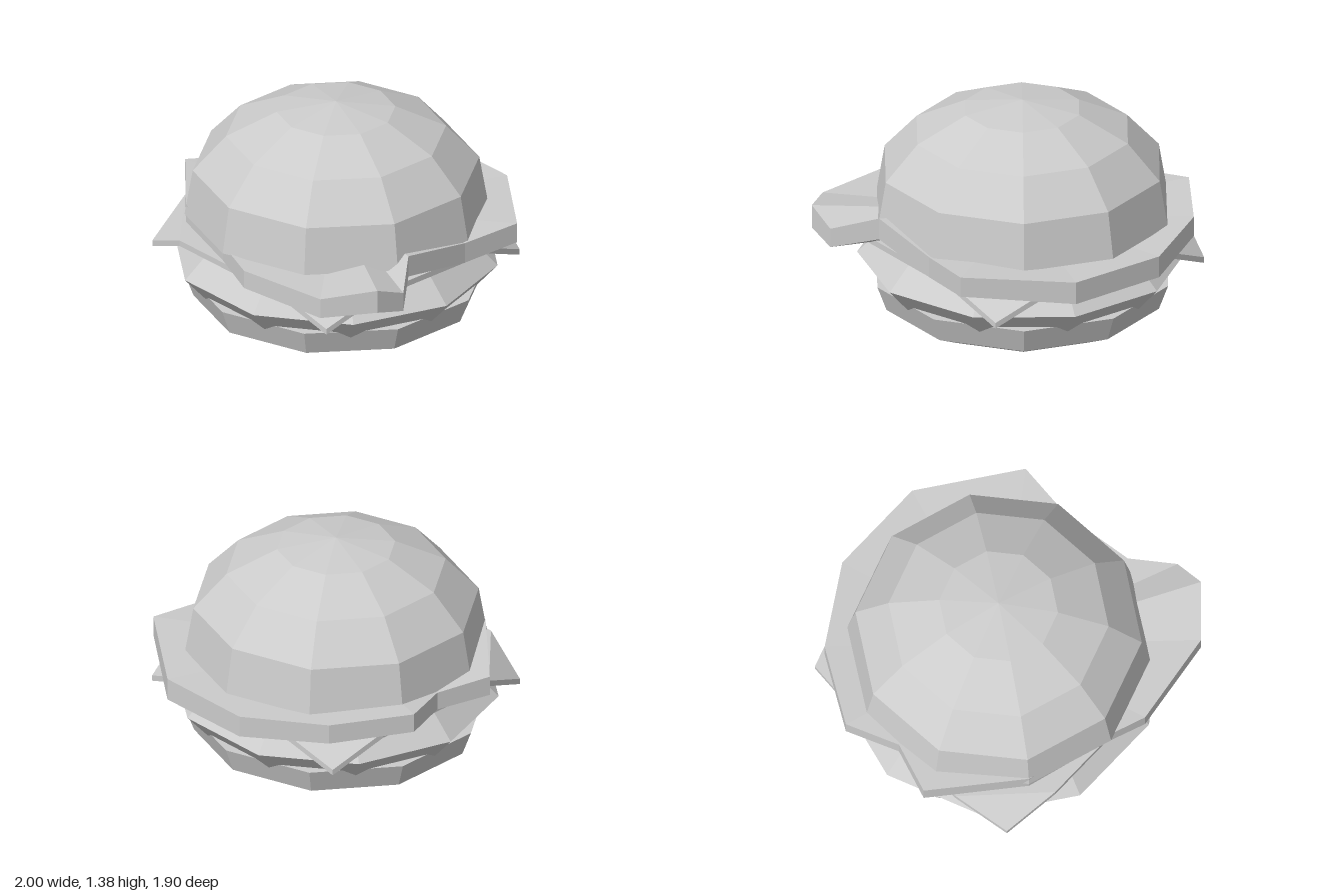
import * as THREE from 'three';

const CX = -0.045, CZ = 0.035; // shared axis of the stacked round parts

function material(side = THREE.FrontSide) {
  return new THREE.MeshStandardMaterial({ color: 0xcccccc, flatShading: true, side });
}

// Ten-sided turned part; profile runs bottom to top as [radius, y]
function turned(name, profile, angle = 0) {
  const geo = new THREE.LatheGeometry(profile.map(([r, y]) => new THREE.Vector2(r, y)), 10);
  const mesh = new THREE.Mesh(geo, material());
  mesh.name = name;
  mesh.position.set(CX, 0, CZ);
  mesh.rotation.y = angle;
  return mesh;
}

// Slab from a rim of [x, top y, z, bottom y], fanned around a centre
function slab(name, rim, top, bottom, closed) {
  const pos = [];
  const tri = (...pts) => pts.forEach((p) => pos.push(...p));
  rim.forEach((p, i) => {
    const q = rim[(i + 1) % rim.length];
    const a = [p[0], p[1], p[2]], b = [q[0], q[1], q[2]];
    const a2 = [p[0], p[3], p[2]], b2 = [q[0], q[3], q[2]];
    tri([CX, top, CZ], a, b);
    tri(a, a2, b2);
    tri(a, b2, b);
    if (closed) tri([CX, bottom, CZ], b2, a2);
  });
  const geo = new THREE.BufferGeometry();
  geo.setAttribute('position', new THREE.Float32BufferAttribute(pos, 3));
  geo.computeVertexNormals();
  const mesh = new THREE.Mesh(geo, material(closed ? THREE.FrontSide : THREE.DoubleSide));
  mesh.name = name;
  return mesh;
}

// Cheese square: flat middle, four corners folded down, open underneath
function cheeseSlice() {
  const group = new THREE.Group();
  group.name = 'cheese';
  const rim = [], folds = [];
  for (let i = 0; i < 4; i++) {
    const turn = (x, y, z) => {
      const v = new THREE.Vector3(x, y, z).applyAxisAngle(new THREE.Vector3(0, 1, 0), i * Math.PI / 2);
      return [v.x + CX, v.y, v.z + CZ];
    };
    const a = turn(0.42, 0.61, 0.82), c = turn(0.74, 0.46, 0.74), b = turn(0.82, 0.61, 0.42);
    rim.push([...a, 0.575], [...b, 0.575]);
    folds.push([a, c, b]);
  }
  group.add(slab('cheeseMiddle', rim, 0.61, 0.575, false));
  // Drooping corners with a thin outer edge
  const pos = [];
  const low = (p) => [p[0], p[1] - 0.035, p[2]];
  for (const [a, c, b] of folds) {
    pos.push(...a, ...c, ...b);
    for (const [p, q] of [[a, c], [c, b]]) pos.push(...p, ...low(p), ...low(q), ...p, ...low(q), ...q);
  }
  const geo = new THREE.BufferGeometry();
  geo.setAttribute('position', new THREE.Float32BufferAttribute(pos, 3));
  geo.computeVertexNormals();
  const corners = new THREE.Mesh(geo, material(THREE.DoubleSide));
  corners.name = 'cheeseCorners';
  group.add(corners);
  return group;
}

export function createModel() {
  const model = new THREE.Group();
  model.name = 'burger';

  model.add(turned('bottomBun', [
    [0, 0], [0.34, 0.025], [0.62, 0.085], [0.815, 0.18], [0.87, 0.33], [0, 0.33],
  ]));
  model.add(turned('patty', [
    [0, 0.27], [0.8, 0.27], [0.94, 0.43], [0.78, 0.59], [0, 0.59],
  ], Math.PI / 10));
  model.add(cheeseSlice());

  // Wavy leaf, rim running from the front round by its left
  model.add(slab('lettuce', [
    [-0.1, 0.72, 0.85, 0.62], [0.19, 0.7, 0.95, 0.59], [0.75, 0.705, 0.87, 0.585],
    [0.99, 0.775, 0.65, 0.635], [1.0, 0.7, 0.46, 0.585], [0.81, 0.79, 0.25, 0.66],
    [0.79, 0.71, -0.2, 0.585], [0.835, 0.73, -0.56, 0.61], [0.31, 0.7, -0.955, 0.565],
    [-0.28, 0.7, -0.955, 0.57], [-0.73, 0.72, -0.68, 0.6], [-1.0, 0.74, -0.27, 0.625],
    [-0.88, 0.71, 0.03, 0.6], [-1.0, 0.745, 0.33, 0.625], [-0.55, 0.77, 0.73, 0.655],
  ], 0.69, 0.61, true));

  model.add(turned('topBun', [
    [0, 0.705], [0.867, 0.705], [0.82, 0.98], [0.63, 1.19], [0.34, 1.33], [0, 1.38],
  ]));
  return model;
}
